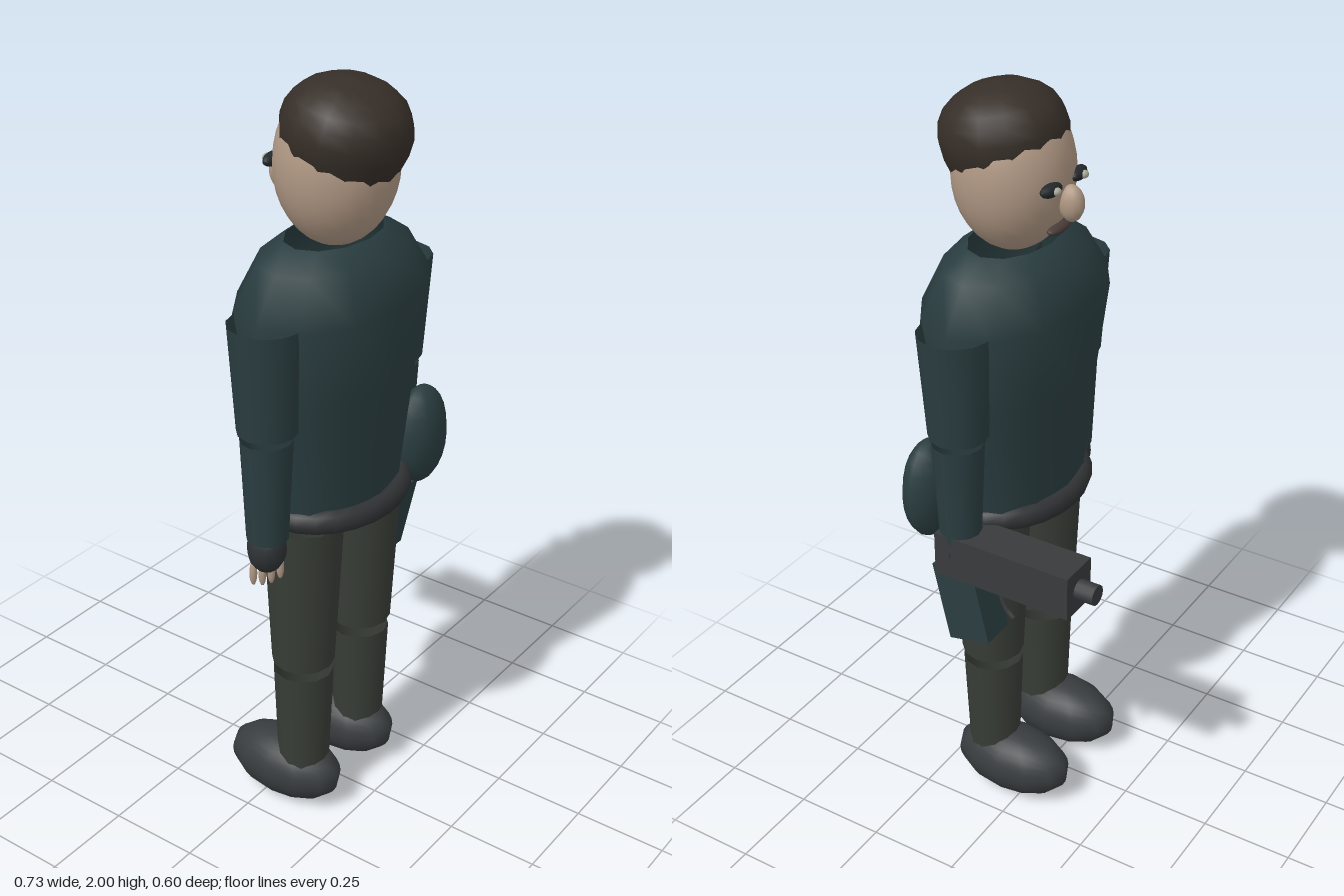
import * as THREE from 'three';

const COLORS = {
  jacket: 0x2a3d40, trousers: 0x383d36, skin: 0xb09884, hair: 0x362e28,
  boot: 0x383c3e, belt: 0x303234, metal: 0x383a3c, glove: 0x2e3234,
  eye: 0x24282a, pupil: 0xa8a898, lips: 0x4a3c38,
};
const mats = {};
for (const [key, color] of Object.entries(COLORS)) {
  mats[key] = new THREE.MeshStandardMaterial({ color, side: THREE.DoubleSide });
}

export function createModel() {
  const model = new THREE.Group();
  model.name = 'armedFigure';

  const add = (name, geometry, mat, [x, y, z] = [0, 0, 0]) => {
    const mesh = new THREE.Mesh(geometry, mats[mat]);
    mesh.name = name;
    mesh.position.set(x, y, z);
    model.add(mesh);
    return mesh;
  };
  const ellipsoid = (name, mat, pos, radii, seg = 12, rows = 12) => {
    const mesh = add(name, new THREE.SphereGeometry(1, seg, rows), mat, pos);
    mesh.scale.set(...radii);
    return mesh;
  };
  // Open tapered sleeve between two heights
  const sleeve = (name, mat, x, z, yTop, yBottom, rTop, rBottom) =>
    add(name, new THREE.CylinderGeometry(rTop, rBottom, yTop - yBottom, 12, 1, true),
      mat, [x, (yTop + yBottom) / 2, z]);
  const lathe = (name, mat, profile, seg, pos) =>
    add(name, new THREE.LatheGeometry(profile.map(p => new THREE.Vector2(...p)), seg), mat, pos);

  // Torso: oval lathe, open at the collar
  const torso = lathe('torso', 'jacket', [
    [0.225, 0.92], [0.235, 1.0], [0.27, 1.25], [0.31, 1.47], [0.235, 1.58], [0.155, 1.62],
  ], 12, [0, 0, 0.095]);
  torso.scale.z = 0.65;

  // Belt and hips
  const beltGeometry = new THREE.TorusGeometry(0.205, 0.032, 8, 24);
  beltGeometry.rotateX(Math.PI / 2);
  beltGeometry.scale(1, 1, 0.77);
  add('belt', beltGeometry, 'belt', [0, 0.925, 0.1]);
  ellipsoid('hips', 'trousers', [0, 0.925, 0.1], [0.2, 0.09, 0.13]);

  // Legs, boots and arms, mirrored
  for (const s of [-1, 1]) {
    const side = s > 0 ? 'left' : 'right';
    sleeve(side + 'Thigh', 'trousers', s * 0.13, 0.1, 0.89, 0.465, 0.104, 0.083);
    sleeve(side + 'Shin', 'trousers', s * 0.128, 0.1, 0.435, 0.12, 0.08, 0.068);
    ellipsoid(side + 'Boot', 'boot', [s * 0.127, 0.095, 0.04], [0.096, 0.095, 0.172], 12, 16);

    sleeve(side + 'UpperArm', 'jacket', s * 0.268, 0.095, 1.475, 1.195, 0.095, 0.076);
    sleeve(side + 'Forearm', 'jacket', s * 0.272, 0.095, 1.175, 0.9, 0.066, 0.053);
    ellipsoid(side + 'Hand', 'glove', [s * 0.275, 0.87, 0.095], [0.05, 0.065, 0.05]);
  }

  // Bare fingertips of the free hand
  for (let i = 0; i < 4; i++) {
    ellipsoid('finger' + (i + 1), 'skin',
      [-0.305 + i * 0.021, 0.805 - (i % 3 ? 0.008 : 0), 0.075 + i * 0.012],
      [0.01, 0.035, 0.01], 8, 8);
  }

  // Head and cap of hair, tilted up at the forehead
  ellipsoid('head', 'skin', [0, 1.79, 0.1], [0.155, 0.2, 0.15], 24, 18);
  const hair = lathe('hair', 'hair', [
    [0.139, -0.075], [0.154, -0.03], [0.159, 0.01], [0.152, 0.045],
    [0.135, 0.075], [0.105, 0.101], [0.065, 0.12], [0, 0.13],
  ], 14, [0, 1.87, 0.125]);
  hair.rotation.x = 0.17;

  // Face, towards -z
  for (const s of [-1, 1]) {
    const side = s > 0 ? 'left' : 'right';
    const eye = ellipsoid(side + 'Eye', 'eye', [s * 0.062, 1.785, -0.042], [0.036, 0.017, 0.017]);
    eye.rotation.y = -s * 0.15;
    ellipsoid(side + 'Pupil', 'pupil', [s * 0.062, 1.785, -0.058], [0.012, 0.01, 0.01], 10, 8);
  }
  ellipsoid('nose', 'skin', [0, 1.735, -0.06], [0.028, 0.046, 0.033]);
  ellipsoid('mouth', 'lips', [0, 1.665, -0.025], [0.045, 0.013, 0.018]);

  // Hip pouch behind the armed hand
  ellipsoid('pouch', 'jacket', [0.25, 1.0, 0.2], [0.09, 0.138, 0.06], 12, 12);

  // Gun: body, barrel, slanted magazine and trigger guard
  add('gunBody', new THREE.BoxGeometry(0.112, 0.12, 0.388), 'metal', [0.268, 0.863, -0.054]);
  const barrel = add('gunBarrel', new THREE.CylinderGeometry(0.027, 0.027, 0.08, 12), 'metal',
    [0.268, 0.863, -0.26]);
  barrel.rotation.x = Math.PI / 2;
  const magazine = add('gunMagazine', new THREE.BoxGeometry(0.095, 0.22, 0.12), 'jacket',
    [0.268, 0.725, 0.073]);
  magazine.rotation.x = 0.22;
  const hook = (name, points) => {
    const curve = new THREE.CatmullRomCurve3(points.map(([y, z]) => new THREE.Vector3(0.268, y, z)));
    add(name, new THREE.TubeGeometry(curve, 12, 0.007, 6), 'metal');
  };
  hook('trigger', [[0.81, -0.015], [0.76, -0.02], [0.72, -0.035], [0.7, -0.056]]);
  hook('triggerGuard', [[0.81, -0.09], [0.795, -0.102], [0.775, -0.1]]);

  return model;
}
